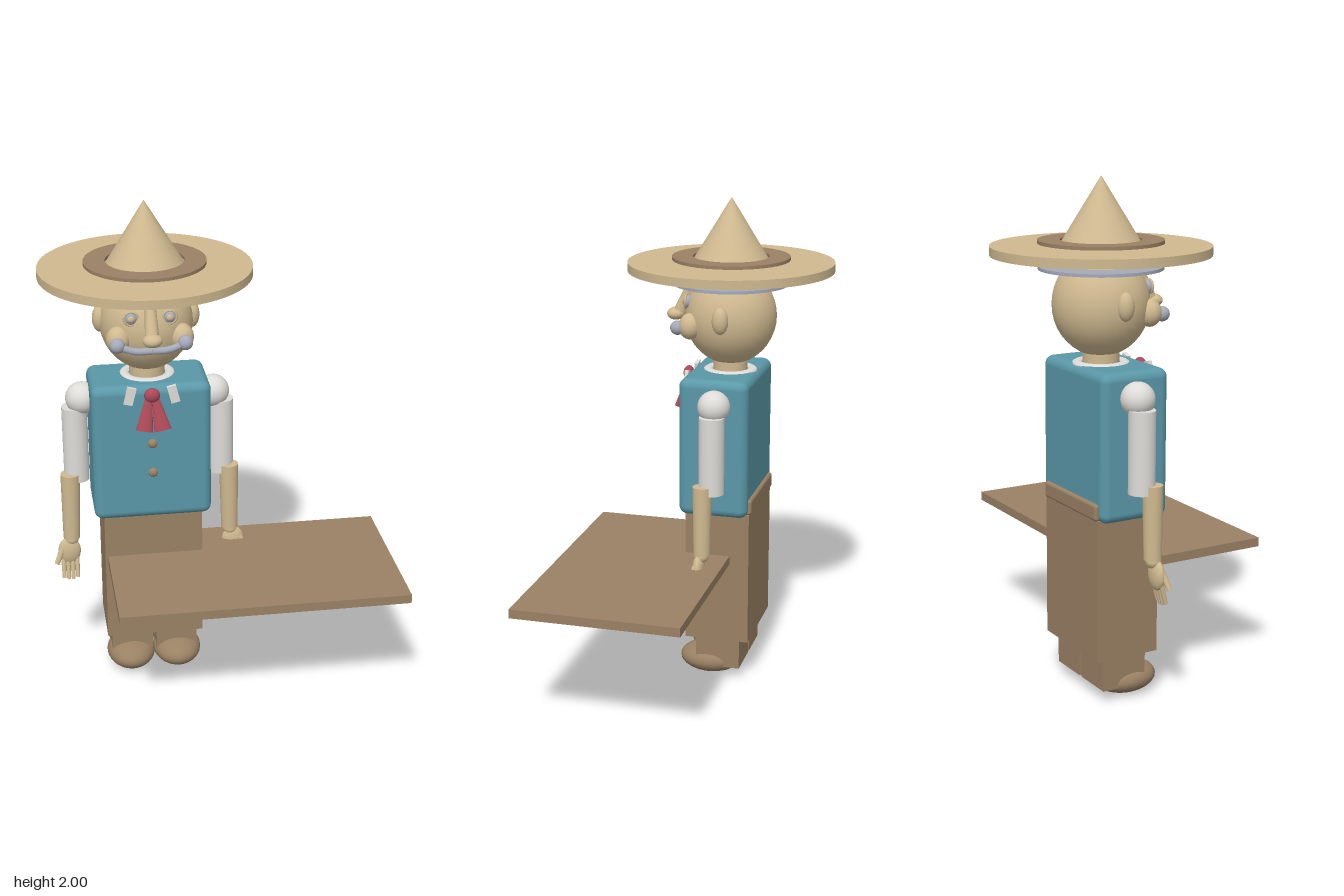
import * as THREE from 'three';
import { toCreasedNormals } from 'three/addons/utils/BufferGeometryUtils.js';
import { RoundedBoxGeometry } from 'three/addons/geometries/RoundedBoxGeometry.js';

const material = (name, color) => {
  const m = new THREE.MeshStandardMaterial({ color });
  m.name = name;
  return m;
};

export function createModel() {
  const wood = material('paleWood', 0xcfb990);
  const brown = material('brown', 0x9a8164);
  const teal = material('teal', 0x5a98a8);
  const white = material('white', 0xdedcd8);
  const red = material('red', 0xad4857);
  const grey = material('silverGrey', 0xa6aab8);
  const slate = material('slate', 0x777b8a);

  const model = new THREE.Group();
  model.name = 'figureAtTable';
  const figure = new THREE.Group();
  figure.name = 'figure';
  figure.position.set(-0.27, 0, -0.1);
  model.add(figure);

  const add = (name, geometry, mat, x, y, z, parent = figure) => {
    const mesh = new THREE.Mesh(geometry, mat);
    mesh.name = name;
    mesh.position.set(x, y, z);
    parent.add(mesh);
    return mesh;
  };
  const ball = (name, mat, x, y, z, rx, ry = rx, rz = rx) =>
    add(name, new THREE.SphereGeometry(1, 32, 20).scale(rx, ry, rz), mat, x, y, z);
  const box = (name, mat, x, y, z, w, h, d) =>
    add(name, new THREE.BoxGeometry(w, h, d), mat, x, y, z);
  // Flat ring around the vertical axis
  const ring = (name, mat, inner, outer, y0, y1) => {
    const pts = [[inner, y0], [outer, y0], [outer, y1], [inner, y1], [inner, y0]]
      .map(([r, y]) => new THREE.Vector2(r, y));
    return add(name, toCreasedNormals(new THREE.LatheGeometry(pts, 64), 0.6), mat, 0, 0, 0);
  };
  // Tapered rod between two points
  const rod = (name, mat, from, to, rFrom, rTo) => {
    const a = new THREE.Vector3(...from), b = new THREE.Vector3(...to);
    const dir = b.clone().sub(a);
    const mid = a.clone().add(b).multiplyScalar(0.5);
    const mesh = add(name, new THREE.CylinderGeometry(rTo, rFrom, dir.length(), 24), mat, mid.x, mid.y, mid.z);
    mesh.quaternion.setFromUnitVectors(new THREE.Vector3(0, 1, 0), dir.normalize());
    return mesh;
  };
  const tube = (name, mat, points, radius) => add(name, new THREE.TubeGeometry(
    new THREE.CatmullRomCurve3(points.map(p => new THREE.Vector3(...p))), 20, radius, 12), mat, 0, 0, 0);

  // Table
  add('tableTop', new THREE.BoxGeometry(1.137, 0.036, 0.67), brown, 0.1115, 0.543, 0.185, model);

  // Hat
  add('hatCrown', new THREE.ConeGeometry(0.19, 0.31, 64), wood, 0, 1.845, 0);
  ring('hatBrim', wood, 0.12, 0.415, 1.71, 1.745);
  ring('hatBand', brown, 0.153, 0.237, 1.753, 1.766);
  ring('hairRing', grey, 0.12, 0.235, 1.656, 1.668);

  // Head and neck
  ball('head', wood, 0, 1.525, 0, 0.183, 0.197, 0.186);
  add('neck', new THREE.CylinderGeometry(0.07, 0.07, 0.12, 32), wood, 0, 1.31, 0);
  const collar = add('collar', new THREE.TorusGeometry(0.09, 0.02, 12, 40), white, 0, 1.3, 0);
  collar.rotation.x = Math.PI / 2;
  collar.scale.z = 0.6;
  rod('noseBridge', wood, [0, 1.65, 0.16], [0, 1.535, 0.21], 0.02, 0.027);
  ball('noseTip', wood, 0, 1.52, 0.23, 0.038, 0.026, 0.036);

  // Torso
  add('waistcoat', new RoundedBoxGeometry(0.47, 0.57, 0.285, 4, 0.035), teal, 0, 1.02, 0.017);
  for (const y of [1.19, 1.065, 0.94]) ball('button', brown, 0, y, 0.163, 0.019, 0.019, 0.014);
  ball('tieKnot', red, 0, 1.275, 0.175, 0.031, 0.029, 0.022);

  // Skirt
  box('skirt', brown, 0, 0.465, 0.003, 0.396, 0.56, 0.266);
  add('backBelt', new RoundedBoxGeometry(0.396, 0.065, 0.035, 3, 0.012), brown, 0, 0.777, -0.122);

  for (const s of [-1, 1]) {
    // Face
    ball('ear', wood, s * 0.18, 1.537, 0, 0.03, 0.054, 0.033);
    ball('cheek', wood, s * 0.122, 1.497, 0.138, 0.047, 0.053, 0.045);
    ball('eyeball', grey, s * 0.074, 1.588, 0.158, 0.026, 0.026, 0.02);
    ball('pupil', wood, s * 0.074, 1.588, 0.172, 0.014, 0.014, 0.01);
    add('eyeRim', new THREE.TorusGeometry(0.026, 0.005, 8, 24), wood, s * 0.074, 1.588, 0.165);
    tube('eyebrow', slate, [[s * 0.018, 1.645, 0.162], [s * 0.07, 1.66, 0.158], [s * 0.13, 1.645, 0.125]], 0.01);
    tube('moustache', grey, [[0, 1.467, 0.2], [s * 0.065, 1.468, 0.197], [s * 0.13, 1.488, 0.188]], 0.014);
    ball('moustacheCurl', grey, s * 0.13, 1.49, 0.188, 0.029);

    // Collar flap and tie tail
    const flap = box('collarFlap', white, s * 0.085, 1.27, 0.16, 0.036, 0.07, 0.016);
    flap.rotation.z = s * 0.25;
    const tail = rod('tieTail', red, [s * 0.036, 1.14, 0.208], [s * 0.012, 1.27, 0.172], 0.034, 0.012);
    tail.scale.z = 0.45;

    // Arm
    ball('shoulder', white, s * 0.262, 1.21, 0.003, 0.065);
    add('sleeve', new THREE.CylinderGeometry(0.051, 0.051, 0.315, 32), white, s * 0.293, 1.018, 0.003);
    rod('forearm', wood, [s * 0.326, 0.61, 0.033], [s * 0.322, 0.895, 0.033], 0.034, 0.039);
    ball('wrist', wood, s * 0.328, 0.605, 0.035, 0.03);

    // Hand
    ball('palm', wood, s * 0.338, 0.552, 0.043, 0.046, 0.06, 0.024);
    for (let i = 0; i < 4; i++) {
      const x = s * (0.309 + i * 0.0185);
      const tip = i === 0 || i === 3 ? 0.44 : 0.433;
      rod('finger', wood, [x, 0.53, 0.045], [x, tip, 0.068], 0.01, 0.008);
    }
    rod('thumb', wood, [s * 0.365, 0.57, 0.05], [s * 0.393, 0.505, 0.065], 0.013, 0.01);

    // Leg and shoe
    box('leg', brown, s * 0.093, 0.13, 0.003, 0.17, 0.155, 0.185);
    ball('shoe', brown, s * 0.097, 0.066, 0.05, 0.1, 0.063, 0.13);
  }
  return model;
}
